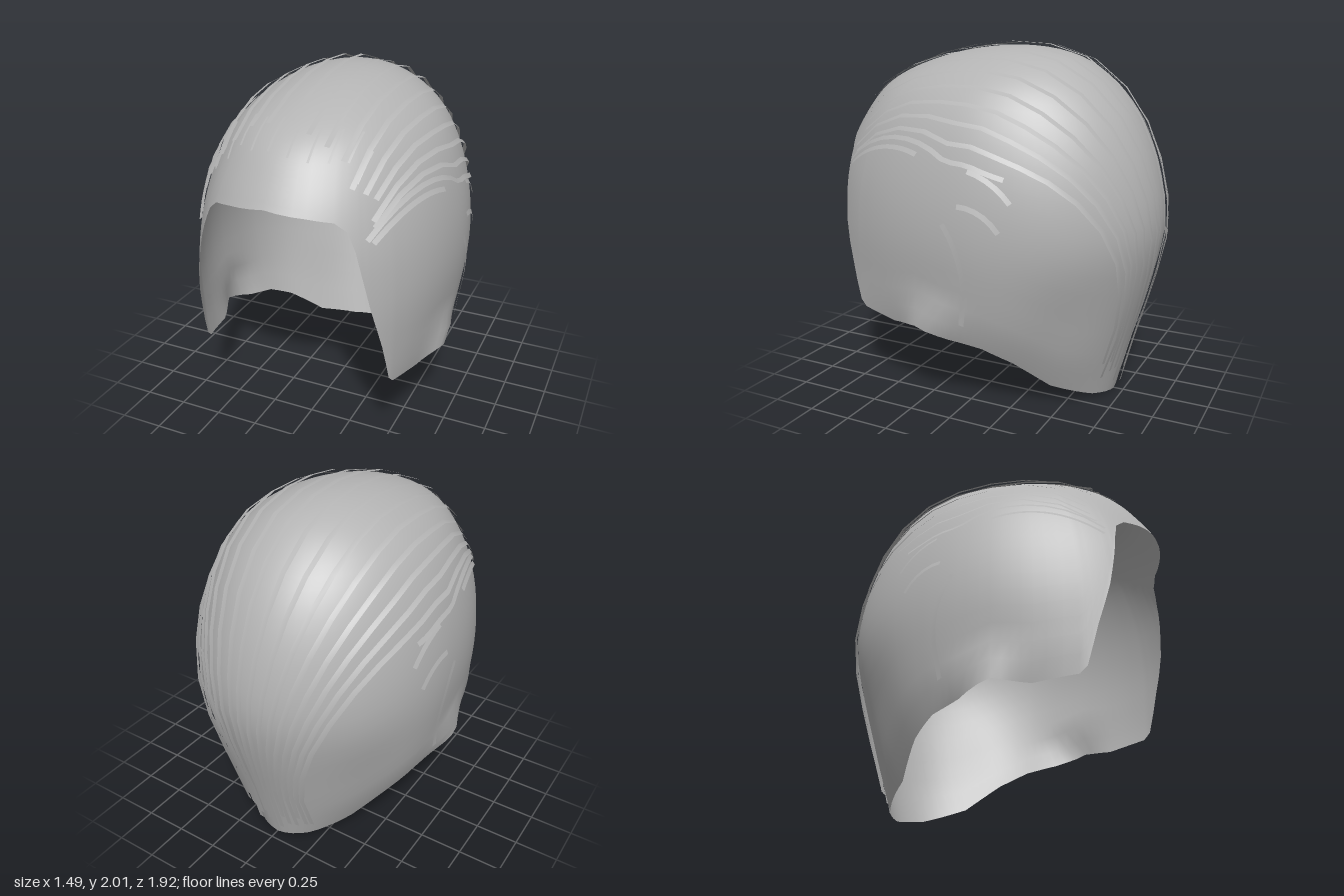
import * as THREE from 'three';

// Horizontal sections of the head of hair: [y, half width, front z, back z, centre z]
const SECTIONS = [
  [2.0, 0, -0.08, -0.08, -0.08], [1.95, 0.26, 0.34, -0.4, -0.06], [1.8, 0.49, 0.72, -0.63, -0.03],
  [1.6, 0.62, 0.905, -0.785, 0], [1.3, 0.705, 1.06, -0.9, 0], [1.0, 0.73, 1.13, -0.935, 0],
  [0.7, 0.7, 1.2, -0.875, 0], [0.4, 0.625, 1.35, -0.79, 0], [0, 0.39, 1.4, -0.69, 0],
];
// Rim of the shell: [angle from the front, y]; hairline, temple edge, ear, nape
const RIM = [
  [0, 1.5], [0.22, 1.475], [0.36, 1.45], [0.43, 1.4], [0.47, 1.3], [0.5, 1.18], [0.55, 0.98], [0.62, 0.75],
  [0.675, 0.53], [0.71, 0.49], [0.965, 0.46], [1.24, 0.49], [1.5, 0.425], [1.78, 0.385],
  [2.05, 0.3], [2.44, 0.13], [2.85, 0.04], [Math.PI, 0.01],
];

// Smooth interpolation of the section table, spaced by the root of the depth below the crown
const KNOTS = SECTIONS.map((s) => Math.sqrt(2 - s[0]));
function section(y, col) {
  const q = Math.sqrt(Math.min(2, Math.max(0, 2 - y)));
  const last = KNOTS.length - 1;
  let i = 0;
  while (i < last - 1 && q > KNOTS[i + 1]) i++;
  const slope = (k) => {
    const a = Math.max(0, k - 1), b = Math.min(last, k + 1);
    return (SECTIONS[b][col] - SECTIONS[a][col]) / (KNOTS[b] - KNOTS[a]);
  };
  const h = KNOTS[i + 1] - KNOTS[i], t = (q - KNOTS[i]) / h, t2 = t * t, t3 = t2 * t;
  return (2 * t3 - 3 * t2 + 1) * SECTIONS[i][col] + (t3 - 2 * t2 + t) * h * slope(i)
    + (3 * t2 - 2 * t3) * SECTIONS[i + 1][col] + (t3 - t2) * h * slope(i + 1);
}

// Distance of the surface from the section centre at an angle and height
function radius(angle, y) {
  const c = section(y, 4), cos = Math.cos(angle), sin = Math.sin(angle);
  const depth = Math.max(1e-5, cos > 0 ? section(y, 2) - c : c - section(y, 3));
  const width = Math.max(1e-5, section(y, 1));
  const r = 1 / Math.hypot(sin / width, cos / depth);
  const bump = (a0, aw, y0, yw) => Math.exp(-(((Math.abs(angle) - a0) / aw) ** 2) - ((y - y0) / yw) ** 2);
  // Flare over the ears and a shallow hollow behind them
  return r + 0.065 * bump(1.32, 0.25, 0.5, 0.11) - 0.03 * bump(2.4, 0.35, 0.52, 0.25);
}

// Shell: columns run from the crown down to the rim
function shellGeometry() {
  const half = [];
  for (let i = 0; i < RIM.length - 1; i++) {
    const [a0, y0] = RIM[i], [a1, y1] = RIM[i + 1];
    const n = Math.max(2, Math.ceil((a1 - a0) / 0.09));
    for (let k = 0; k < n; k++) half.push([a0 + (a1 - a0) * k / n, y0 + (y1 - y0) * k / n]);
  }
  half.push(RIM[RIM.length - 1]);
  const columns = [...half, ...half.slice(1, -1).reverse().map(([a, y]) => [-a, y])];
  const rows = 28, n = columns.length, pos = [], index = [];
  for (const [angle, rimY] of columns) {
    for (let j = 0; j <= rows; j++) {
      const s = j / rows, y = 2 - (2 - rimY) * s * s;
      const r = j ? radius(angle, y) : 0;
      pos.push(r * Math.sin(angle), y, section(y, 4) + r * Math.cos(angle));
    }
  }
  for (let i = 0; i < n; i++) {
    for (let j = 0; j < rows; j++) {
      const a = i * (rows + 1) + j, b = ((i + 1) % n) * (rows + 1) + j;
      if (j) index.push(a, a + 1, b);
      index.push(b, a + 1, b + 1);
    }
  }
  const g = new THREE.BufferGeometry();
  g.setAttribute('position', new THREE.Float32BufferAttribute(pos, 3));
  g.setIndex(index);
  g.computeVertexNormals();
  for (let i = 0; i < n; i++) g.attributes.normal.setXYZ(i * (rows + 1), 0, 1, 0);
  return g;
}

// Point on the shell along a ray: phi runs front, over the top, to the back; lam leans sideways
function onSurface(phi, lam, lift) {
  const d = new THREE.Vector3(Math.sin(lam), Math.cos(lam) * Math.sin(phi), Math.cos(lam) * Math.cos(phi));
  let lo = 0, hi = 2;
  for (let k = 0; k < 24; k++) {
    const m = (lo + hi) / 2, y = 0.95 + d.y * m;
    const x = d.x * m, z = d.z * m - section(y, 4);
    if (y < 2 && Math.hypot(x, z) < radius(Math.atan2(x, z), y)) lo = m; else hi = m;
  }
  d.multiplyScalar(lo + lift);
  d.y += 0.95;
  return d;
}

// Flat lock of hair following a path of [phi, lam] over the shell
function ribbonGeometry(path, steps, width, lift) {
  const pos = [], index = [];
  for (let i = 0; i <= steps; i++) {
    const t = i / steps, [phi, lam] = path(t), [phi2, lam2] = path(t + 0.01);
    const p = onSurface(phi, lam, lift), ahead = onSurface(phi2, lam2, lift);
    const out = p.clone().sub(new THREE.Vector3(0, 0.95, 0)).normalize();
    const side = ahead.sub(p).cross(out).normalize().multiplyScalar(width / 2);
    pos.push(...p.clone().add(side).toArray(), ...p.clone().sub(side).toArray());
    if (i) index.push(2 * i - 2, 2 * i, 2 * i - 1, 2 * i - 1, 2 * i, 2 * i + 1);
  }
  const g = new THREE.BufferGeometry();
  g.setAttribute('position', new THREE.Float32BufferAttribute(pos, 3));
  g.setIndex(index);
  g.computeVertexNormals();
  return g;
}

export function createModel() {
  const model = new THREE.Group();
  model.name = 'hair';
  const grey = new THREE.MeshStandardMaterial({ color: 0xb4b4b4, side: THREE.DoubleSide });
  grey.name = 'hair grey';
  const add = (name, geometry, parent) => {
    const mesh = new THREE.Mesh(geometry, grey);
    mesh.name = name;
    parent.add(mesh);
  };
  add('hairShell', shellGeometry(), model);

  let seed = 7;
  const rand = () => (seed = (seed * 16807) % 2147483647) / 2147483647;
  const { lerp, smoothstep } = THREE.MathUtils;
  // Locks fan out from the hairline, the outer ones most, then gather at the nape
  const combed = (phi, lam) => {
    const front = lerp(1, Math.min(1, 0.25 + 0.5 * phi), Math.min(1, Math.abs(lam)));
    const back = lerp(1, 0.26, smoothstep(phi, 1.9, 4.0));
    return [phi, lam * front * back];
  };

  const locks = new THREE.Group();
  locks.name = 'combedLocks';
  model.add(locks);
  const count = 21;
  for (let i = 0; i < count; i++) {
    const lam = lerp(-1.08, 1.08, i / (count - 1)), outer = Math.abs(lam);
    const start = lerp(0.9, 0.42, Math.min(1, outer)) + 0.12 * rand();
    let end = 3.9 + 0.15 * rand();
    if (outer > 1) end = 1.15;
    else if (outer > 0.9) end = 2.2;
    add('lock', ribbonGeometry((t) => combed(lerp(start, end, t), lam), 14, 0.028, 0.01 + 0.014 * rand()), locks);
  }

  // Short wisps behind the front hairline
  const wisps = new THREE.Group();
  wisps.name = 'frontWisps';
  model.add(wisps);
  for (let i = 0; i < 12; i++) {
    const lam = lerp(-0.6, 0.6, (i + 0.5) / 12), start = 0.68 + 0.15 * rand();
    add('wisp', ribbonGeometry((t) => combed(start + 0.2 * t, lam), 3, 0.012, 0.006), wisps);
  }

  for (const s of [-1, 1]) {
    const side = s > 0 ? 'left' : 'right';
    // Short locks above and behind each ear: start and end of [phi, lam]
    for (const [p0, l0, p1, l1] of [[1.79, 1.0, 2.44, 1.0], [1.77, 1.23, 2.71, 1.16]]) {
      add(side + 'SideLock', ribbonGeometry((t) => [lerp(p0, p1, t), s * lerp(l0, l1, t)], 5, 0.028, 0.012), model);
    }
    // Lock hanging in front of each ear
    const path = new THREE.CatmullRomCurve3([[0.03, 1.1], [-0.03, 1.0], [-0.08, 0.8], [-0.05, 0.52]]
      .map(([z, y]) => new THREE.Vector3(0.72, y - 0.95, z)));
    add(side + 'EarLock', ribbonGeometry((t) => {
      const p = path.getPoint(t);
      const q = path.getTangent(Math.min(1, t)).multiplyScalar(Math.max(0, t - 1));
      p.add(q);
      return [Math.atan2(p.y, p.z), s * Math.atan2(p.x, Math.hypot(p.y, p.z))];
    }, 8, 0.03, 0.014), model);
  }
  return model;
}
